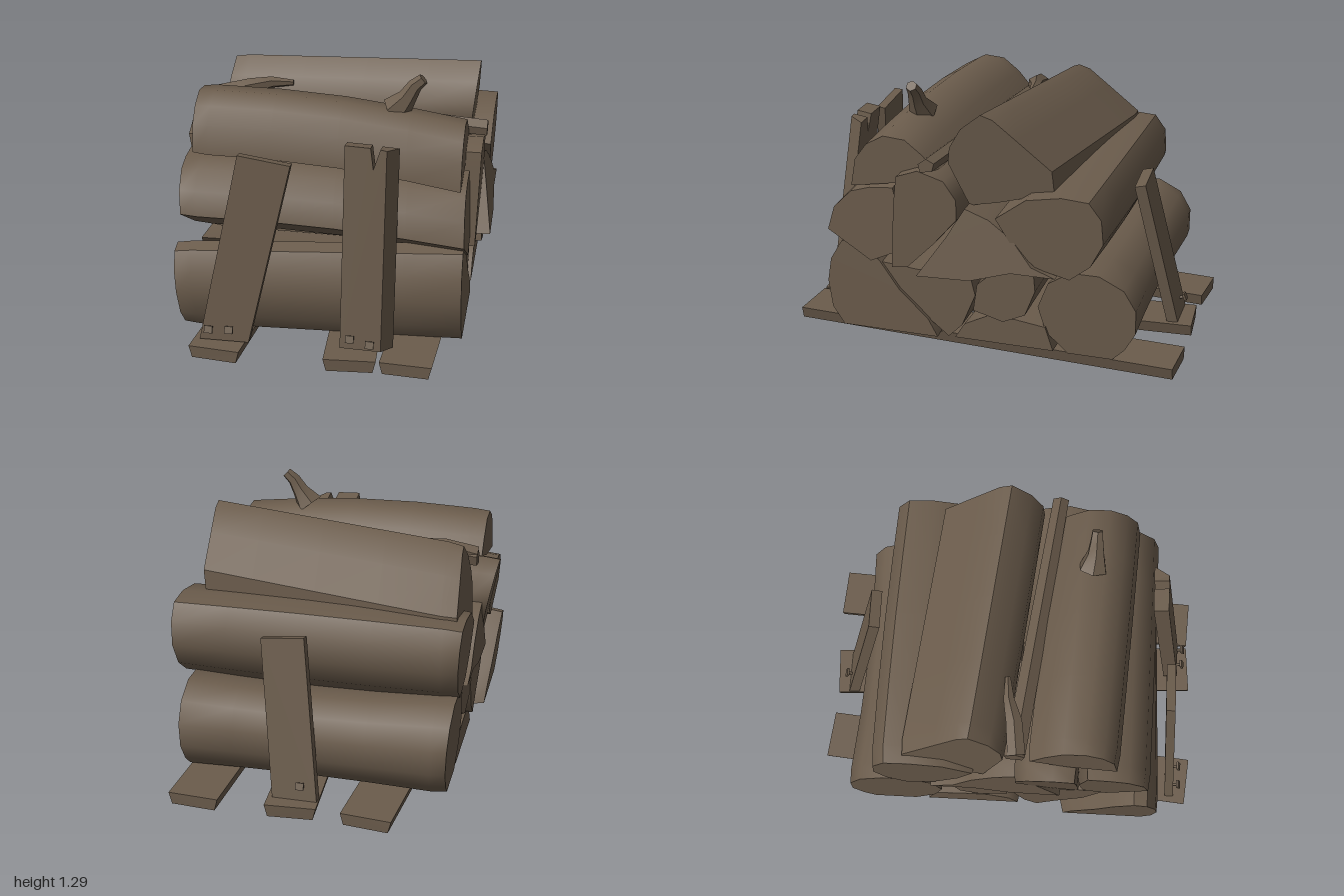
import * as THREE from 'three';
import { toCreasedNormals } from 'three/addons/utils/BufferGeometryUtils.js';

const wood = new THREE.MeshStandardMaterial({ color: 0x6b5c4c });
wood.name = 'weathered wood';

// Skin a list of rings (arrays of Vector3) and close both ends, facing outward.
function loft(rings, crease = 0.75) {
  const tris = [];
  const n = rings[0].length;
  for (let i = 0; i + 1 < rings.length; i++) {
    for (let j = 0; j < n; j++) {
      const k = (j + 1) % n;
      const [a, b, c, d] = [rings[i][j], rings[i][k], rings[i + 1][k], rings[i + 1][j]];
      tris.push([a, b, c], [a, c, d]);
    }
  }
  const cap = (ring, flip) => {
    const flat = ring.map(p => new THREE.Vector2(p.z, p.y));
    for (const [a, b, c] of THREE.ShapeUtils.triangulateShape(flat, [])) {
      // Wind each cap triangle like its ring
      const t = [a, b, c].sort((p, q) => p - q).map(i => ring[i]);
      tris.push(flip ? [t[2], t[1], t[0]] : t);
    }
  };
  cap(rings[0], true);
  cap(rings[rings.length - 1], false);
  const volume = tris.reduce((s, [a, b, c]) => s + a.dot(b.clone().cross(c)), 0);
  const points = tris.flatMap(t => (volume < 0 ? [t[2], t[1], t[0]] : t));
  const g = new THREE.BufferGeometry().setFromPoints(points);
  return toCreasedNormals(g, crease);
}

function add(group, name, geometry) {
  const mesh = new THREE.Mesh(geometry, wood);
  mesh.name = name;
  group.add(mesh);
  return mesh;
}

// Log along x: `end` is the z,y outline at x1; the x0 end is shifted and scaled.
// waist thins the middle, sway lifts it, tilt slants the left and right cuts.
function log(group, name, end, x0, x1, { dz = 0, dy = 0, scale = 1, waist = 0, sway = 0, tilt = [0, 0] } = {}) {
  const pts = [];
  for (let i = 0; i < end.length; i += 2) pts.push([end[i], end[i + 1]]);
  const cz = pts.reduce((s, p) => s + p[0], 0) / pts.length;
  const cy = pts.reduce((s, p) => s + p[1], 0) / pts.length;
  const rings = [0, 0.06, 0.3, 0.55, 0.8, 1].map(t => {
    const u = 1 - t;
    const arc = Math.sin(Math.PI * t);
    const s = (1 + (scale - 1) * u - waist * arc) * (t === 0 ? 0.96 : 1);
    return pts.map(([z, y]) => new THREE.Vector3(
      x0 + (x1 - x0) * t + (tilt[0] * u + tilt[1] * t) * (y - cy),
      cy + (y - cy) * s + dy * u + sway * arc,
      cz + (z - cz) * s + dz * u));
  });
  add(group, name, loft(rings));
}

// Tapering limb through points given as [x, y, z, radius].
function limb(group, name, path) {
  const rings = path.map(([x, y, z, r], i) => {
    const p = path[Math.max(0, i - 1)], q = path[Math.min(path.length - 1, i + 1)];
    const dir = new THREE.Vector3(q[0] - p[0], q[1] - p[1], q[2] - p[2]).normalize();
    const side = new THREE.Vector3(0, 0, 1).cross(dir).normalize();
    const up = dir.clone().cross(side);
    return [0, 1, 2, 3, 4, 5].map(k => new THREE.Vector3(x, y, z)
      .addScaledVector(side, r * Math.cos(k * Math.PI / 3))
      .addScaledVector(up, r * Math.sin(k * Math.PI / 3)));
  });
  add(group, name, loft(rings));
}

// Leaning board from an x,y outline.
function post(group, name, outline, depth, z, lean, flare = 0) {
  const shape = new THREE.Shape(outline.map(p => new THREE.Vector2(...p)));
  const g = new THREE.ExtrudeGeometry(shape, { depth, bevelEnabled: false });
  const p = g.attributes.position;
  const right = Math.max(...outline.map(q => q[0]));
  for (let i = 0; i < p.count; i++) {
    if (flare && p.getZ(i) < 0.001 && p.getX(i) > right - 0.01) p.setX(i, right + flare);
  }
  g.computeVertexNormals();
  const mesh = add(group, name, g);
  mesh.position.z = z;
  mesh.rotation.x = lean;
}

export function createModel() {
  const pile = new THREE.Group();
  pile.name = 'logPile';

  // Ground planks: x centre at the back and at the front
  [[-0.325, -0.495, -0.98], [0.045, 0.16, -0.97], [0.525, 0.425, -0.98]].forEach(([xb, xf, zb], i) => {
    const ring = (x, z, skew) => [[-1, 0.005], [1, 0.005], [1, 0.065], [-1, 0.065]].map(([s, y]) =>
      new THREE.Vector3(x + s * (y < 0.03 ? 0.11 : 0.125), y, z + s * skew));
    const skew = (xf - xb) * -0.07;
    add(pile, 'groundPlank' + (i + 1), loft([ring(xb, zb, skew), ring(xf, 0.985, skew)], 0.1));
  });

  // Bottom row
  log(pile, 'bottomFrontLog', [0.76, 0.16, 0.78, 0.3, 0.76, 0.42, 0.70, 0.52, 0.62, 0.54, 0.5, 0.44,
    0.4, 0.3, 0.25, 0.16, 0.2, 0.07, 0.7, 0.07], -0.72, 0.66, { dz: 0.06, dy: -0.04, scale: 0.88, tilt: [-0.08, -0.02] });
  log(pile, 'bottomSplitLog', [0.52, 0.43, 0.3, 0.41, 0.04, 0.43, 0.01, 0.31, 0.08, 0.14, 0.15, 0.07,
    0.25, 0.15, 0.4, 0.25], -0.66, 0.64, { dz: 0.02 });
  log(pile, 'bottomSlab', [0.11, 0.08, 0.06, 0.16, -0.06, 0.22, -0.2, 0.22, -0.35, 0.2, -0.39, 0.08],
    -0.66, 0.66, { dz: -0.03 });
  log(pile, 'bottomMiddleLog', [-0.02, 0.4, -0.1, 0.47, -0.3, 0.52, -0.31, 0.4, -0.26, 0.27, -0.15, 0.22, 0, 0.26],
    -0.66, 0.7, { dz: 0.02 });
  log(pile, 'bottomBackLog', [-0.46, 0.07, -0.35, 0.17, -0.31, 0.3, -0.36, 0.43, -0.47, 0.5, -0.61, 0.5,
    -0.73, 0.44, -0.79, 0.34, -0.79, 0.22, -0.74, 0.13, -0.68, 0.07],
    -0.67, 0.65, { dz: -0.02, dy: 0.02, scale: 1.04, waist: 0.1, sway: -0.015, tilt: [-0.03, 0.03] });

  // Middle row
  log(pile, 'middleFrontLog', [0.765, 0.58, 0.73, 0.7, 0.64, 0.79, 0.54, 0.82, 0.42, 0.83, 0.38, 0.66,
    0.41, 0.5, 0.54, 0.44], -0.71, 0.66, { dz: -0.02, dy: 0.05, scale: 0.95, sway: 0.025, tilt: [-0.08, -0.04] });
  log(pile, 'middleSplitLog', [0.42, 0.43, 0.4, 0.75, 0.38, 0.91, 0.27, 0.95, 0.14, 0.91, 0.08, 0.82,
    0.08, 0.72, 0.2, 0.58, 0.34, 0.44], -0.72, 0.7, { dz: -0.03, tilt: [-0.18, 0.03] });
  log(pile, 'middleWedgeLog', [0.27, 0.43, 0.13, 0.63, 0.04, 0.78, -0.08, 0.74, -0.2, 0.66, -0.3, 0.54,
    -0.42, 0.5, -0.2, 0.5, 0, 0.44], -0.7, 0.73, { dz: 0.03, tilt: [0, -0.18] });
  log(pile, 'middleBackLog', [-0.32, 0.53, -0.2, 0.63, -0.12, 0.76, -0.27, 0.87, -0.44, 0.9, -0.57, 0.89,
    -0.63, 0.81, -0.64, 0.69, -0.58, 0.57, -0.48, 0.49], -0.69, 0.72, { dz: -0.025, waist: -0.05, tilt: [-0.03, 0.03] });

  // Top row
  log(pile, 'topFrontLog', [0.645, 0.81, 0.62, 0.95, 0.56, 1.03, 0.47, 1.08, 0.36, 1.07, 0.27, 1.0,
    0.2, 0.92, 0.4, 0.85], -0.68, 0.63, { dz: -0.085, dy: 0.075, sway: 0.035 });
  log(pile, 'topThinLog', [0.25, 0.95, 0.26, 0.99, 0.22, 1.02, 0.18, 1.0, 0.19, 0.96], -0.67, 0.72,
    { dz: -0.17, dy: 0.03, scale: 1.3 });
  log(pile, 'topBackLog', [0.14, 0.98, 0.13, 1.06, 0.07, 1.16, -0.03, 1.24, -0.09, 1.22, -0.2, 1.13,
    -0.37, 0.99, -0.38, 0.88, -0.1, 0.8, 0.04, 0.77], -0.65, 0.64, { dz: -0.14, dy: -0.08, tilt: [0.1, 0.1] });

  // Broken limbs
  limb(pile, 'branchStub', [[0.29, 1.11, 0.39, 0.075], [0.345, 1.18, 0.4, 0.045],
    [0.38, 1.24, 0.4, 0.035], [0.42, 1.275, 0.4, 0.028]]);
  limb(pile, 'barkCurl', [[-0.66, 1.02, 0.06, 0.05], [-0.5, 1.06, 0.04, 0.045],
    [-0.4, 1.08, 0.01, 0.03], [-0.29, 1.08, 0.0, 0.015]]);

  // Leaning posts
  post(pile, 'frontLeaningPost', [[-0.58, 0.07], [-0.34, 0.07], [-0.14, 0.965], [-0.39, 1.0]], 0.045, 0.875, -0.1);
  post(pile, 'frontNotchedPost', [[0.105, 0.085], [0.3, 0.08], [0.3, 1.05], [0.27, 1.055], [0.24, 0.96],
    [0.225, 1.06], [0.105, 1.065]], 0.075, 0.865, -0.155, 0.05);
  post(pile, 'backPost', [[-0.07, 0.07], [0.15, 0.07], [0.24, 0.84], [0.03, 0.86]], 0.055, -0.92, 0.225);

  // Bent nails at the post feet
  [[-0.53, 0.13, 0.91, 1], [-0.43, 0.135, 0.91, 1], [0.155, 0.145, 0.92, 1], [0.25, 0.125, 0.925, 1],
    [0.01, 0.14, -0.89, -1]].forEach(([x, y, z, s], i) => {
    const nail = new THREE.Group();
    nail.name = 'nail' + (i + 1);
    const shaft = add(nail, 'nailShaft', new THREE.CylinderGeometry(0.008, 0.008, 0.05, 6));
    shaft.rotation.x = Math.PI / 2;
    const head = add(nail, 'nailHead', new THREE.BoxGeometry(0.04, 0.035, 0.012));
    head.position.z = 0.025 * s;
    nail.position.set(x, y, z);
    nail.rotation.x = -0.4 * s;
    pile.add(nail);
  });

  return pile;
}
